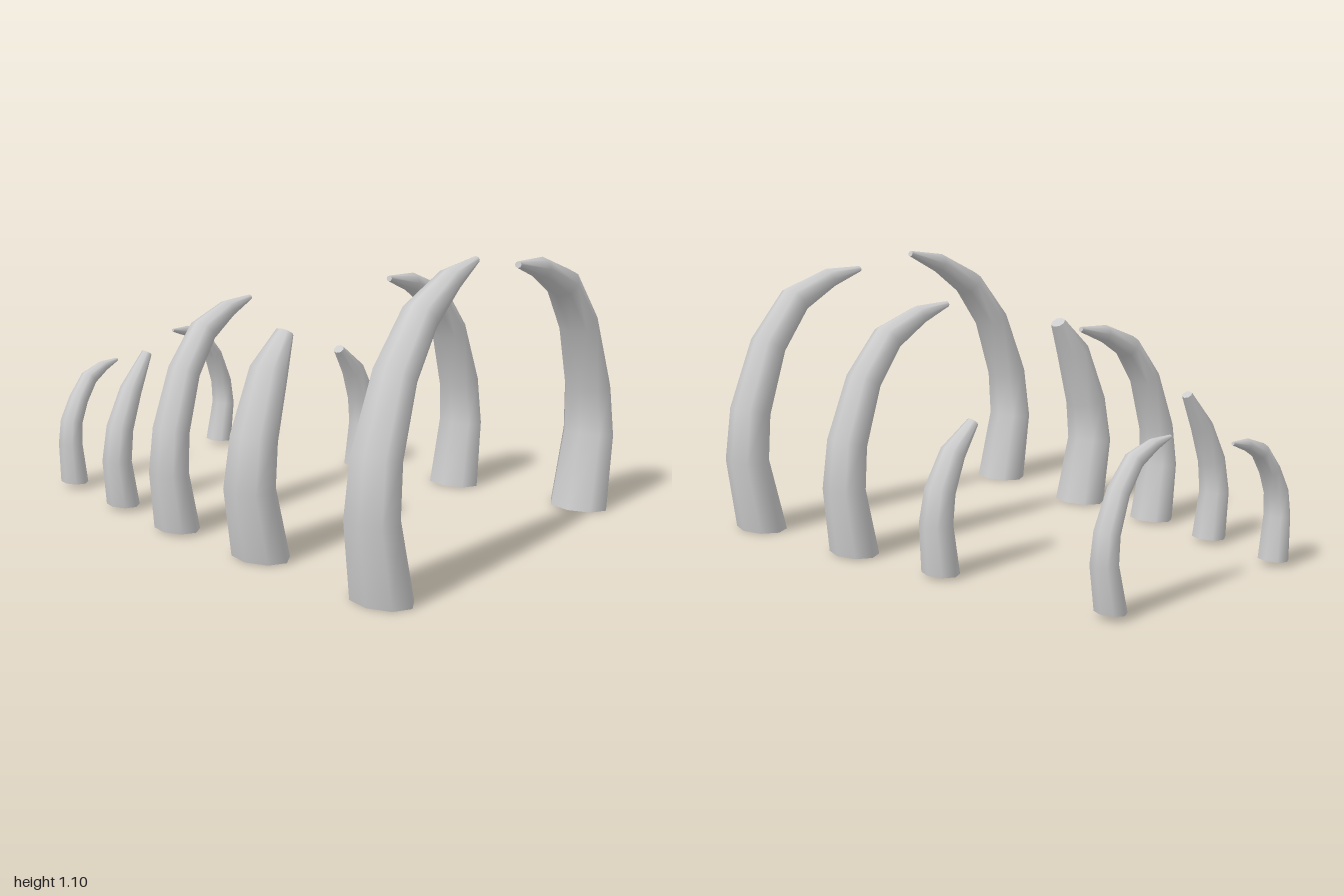
import * as THREE from 'three';

const SIDES = 8;

// Ring by ring from base to tip: share of the inward reach, share of the outward belly,
// share of the height (the two belly rings are set per rib), how far the crown lifts the ring,
// and the taper in the bend plane and along z
const WHOLE = {
  reach: [0, 0, 0.03, 0.177, 0.39, 0.695, 1],
  belly: [0, 1, 0.9, 0.6, 0.2, 0, 0],
  height: [0, 0, 0.19, 0.715, 0.88, 0.963, 1],
  lift: [0, 0, 0, 0.8, 1, 0.45, 0],
  taperIn: [1, 0.83, 0.79, 0.74, 0.71, 0.48, 0.14],
  taperZ: [1, 0.89, 0.81, 0.68, 0.55, 0.37, 0.11],
};
const BROKEN = {
  reach: [0, 0, 0.1, 0.4, 1],
  belly: [0, 1, 0.8, 0.1, 0],
  height: [0, 0, 0.22, 0.81, 1],
  lift: [0, 0, 0, 1, 0],
  taperIn: [1, 0.89, 0.83, 0.73, 0.34],
  taperZ: [1, 0.88, 0.8, 0.62, 0.29],
};

// side is +1 for the left ribs and -1 for the right; base is [distance from the middle, y, z]
const RIBS = [
  { name: 'rightRib1', form: WHOLE, side: -1, base: [0.685, 0, 0.87], radii: [0.09, 0.125],
    reach: 0.542, belly: 0.06, height: 1.092, bellyY: 0.271, crown: -0.022 },
  { name: 'leftRib1', form: WHOLE, side: 1, base: [0.678, 0, 0.87], radii: [0.09, 0.125],
    reach: 0.536, belly: 0.06, height: 1.042, bellyY: 0.285, crown: 0.017 },
  { name: 'rightBrokenRib2', form: BROKEN, side: -1, base: [0.608, 0.003, 0.272], radii: [0.088, 0.123],
    reach: 0.142, belly: 0.059, height: 0.809, bellyY: 0.335, crown: 0.03 },
  { name: 'leftRib2', form: WHOLE, side: 1, base: [0.637, 0.003, 0.295], radii: [0.083, 0.115],
    reach: 0.492, belly: 0.043, height: 0.934, bellyY: 0.278, crown: 0.004 },
  { name: 'rightRib3', form: WHOLE, side: -1, base: [0.575, 0.01, -0.178], radii: [0.074, 0.1],
    reach: 0.437, belly: 0.04, height: 0.842, bellyY: 0.275, crown: 0.007 },
  { name: 'leftBrokenRib3', form: BROKEN, side: 1, base: [0.59, 0.01, -0.165], radii: [0.062, 0.083],
    reach: 0.165, belly: 0.02, height: 0.546, bellyY: 0.348, crown: 0 },
  { name: 'rightBrokenRib4', form: BROKEN, side: -1, base: [0.5, 0.015, -0.55], radii: [0.058, 0.074],
    reach: 0.153, belly: 0.028, height: 0.598, bellyY: 0.31, crown: -0.04 },
  { name: 'rightRib5', form: WHOLE, side: -1, base: [0.415, 0.02, -0.93], radii: [0.049, 0.065],
    reach: 0.265, belly: 0.016, height: 0.485, bellyY: 0.35, crown: 0.01 },
  { name: 'leftRib5', form: WHOLE, side: 1, base: [0.495, 0.02, -0.93], radii: [0.049, 0.065],
    reach: 0.295, belly: 0.034, height: 0.561, bellyY: 0.303, crown: 0.02 },
];

// Centre line of a rib in the xy plane
function ribPath({ form, side, base, reach, belly, height, bellyY, crown }) {
  return form.reach.map((share, i) => {
    const inward = reach * share - belly * form.belly[i];
    const rise = form.height[i] + crown * form.lift[i] + (i === 1 || i === 2 ? bellyY : 0);
    return new THREE.Vector2(side * (base[0] - inward), base[1] + height * rise);
  });
}

// Loft a tapered tube of elliptical rings, flat at the base, with a cap at each end
function ribGeometry(rib) {
  const { form, radii } = rib, path = ribPath(rib);
  const pos = [], index = [], last = path.length - 1;
  path.forEach((p, i) => {
    const t = i === 0 ? new THREE.Vector2(0, 1)
      : path[Math.min(i + 1, last)].clone().sub(path[i - 1]).normalize();
    for (let j = 0; j < SIDES; j++) {
      const angle = (j / SIDES) * Math.PI * 2;
      const c = Math.cos(angle) * radii[0] * form.taperIn[i];
      pos.push(p.x + t.y * c, p.y - t.x * c, rib.base[2] + Math.sin(angle) * radii[1] * form.taperZ[i]);
    }
  });
  for (let i = 0; i < last; i++) {
    for (let j = 0; j < SIDES; j++) {
      const a = i * SIDES + j, b = i * SIDES + (j + 1) % SIDES;
      index.push(a, a + SIDES, b, b, a + SIDES, b + SIDES);
    }
  }
  // Caps use their own vertices so their edges stay sharp
  for (const [ring, flip] of [[0, false], [last, true]]) {
    const start = pos.length / 3;
    pos.push(...pos.slice(ring * SIDES * 3, (ring + 1) * SIDES * 3));
    for (let j = 1; j < SIDES - 1; j++) {
      const p = start + j, q = start + j + 1;
      index.push(start, flip ? q : p, flip ? p : q);
    }
  }
  const geo = new THREE.BufferGeometry();
  geo.setAttribute('position', new THREE.Float32BufferAttribute(pos, 3));
  geo.setIndex(index);
  geo.computeVertexNormals();
  return geo;
}

export function createModel() {
  const group = new THREE.Group();
  group.name = 'ribCage';
  const material = new THREE.MeshStandardMaterial({ color: 0xcccccc });
  for (const rib of RIBS) {
    const mesh = new THREE.Mesh(ribGeometry(rib), material);
    mesh.name = rib.name;
    group.add(mesh);
  }
  return group;
}
